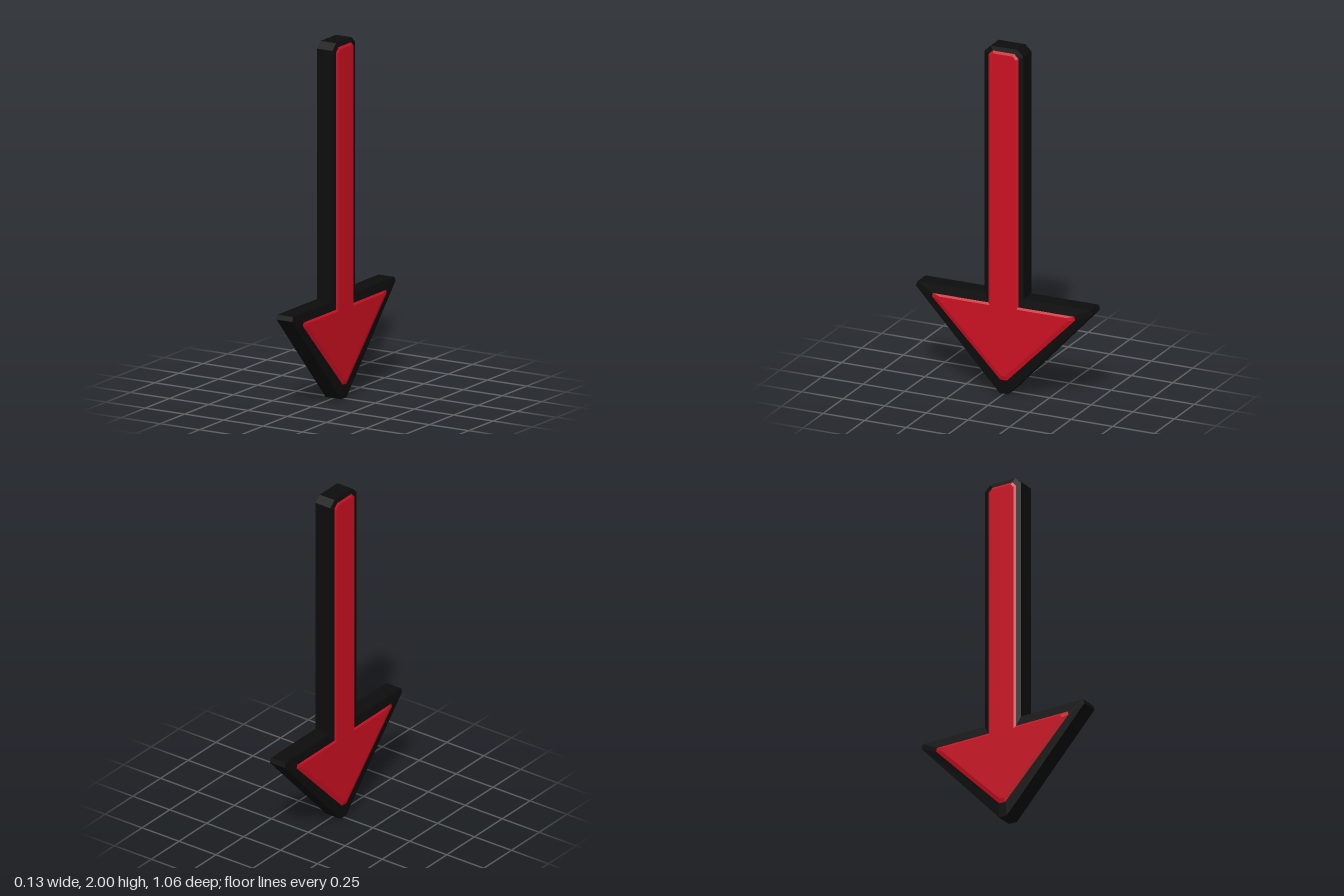
import * as THREE from 'three';

const black = new THREE.MeshStandardMaterial({ color: 0x0d0d0d });
black.name = 'black';
const red = new THREE.MeshStandardMaterial({ color: 0xcc1022 });
red.name = 'red';

// Closed outline from one half (sideways, up), tip first, mirrored to the other side
function outline(half) {
  const right = half.map(([u, v]) => new THREE.Vector2(u, v));
  const left = half.map(([u, v]) => new THREE.Vector2(-u, v)).reverse();
  return right.concat(left);
}

const rim = outline([[0.026, 0], [0.53, 0.54], [0.52, 0.566], [0.117, 0.566], [0.117, 1.965], [0.08, 2]]);
const inlay = outline([[0.02, 0.08], [0.43, 0.495], [0.425, 0.515], [0.09, 0.515], [0.09, 1.95], [0.065, 1.976]]);
const crest = outline([[0.012, 0.105], [0.39, 0.487], [0.38, 0.503], [0.078, 0.503], [0.078, 1.942], [0.058, 1.962]]);

// Flat-faced skin through levels [x, outline] of rising x, with optional end caps
function loft(levels, capLow, capHigh) {
  const positions = [];
  const put = (x, p) => positions.push(x, p.y, -p.x);
  for (let k = 0; k < levels.length - 1; k++) {
    const [xa, a] = levels[k], [xb, b] = levels[k + 1];
    for (let i = 0; i < a.length; i++) {
      const j = (i + 1) % a.length;
      put(xa, a[i]); put(xa, a[j]); put(xb, b[j]);
      put(xa, a[i]); put(xb, b[j]); put(xb, b[i]);
    }
  }
  const cap = ([x, ring], flip) => {
    for (const [a, b, c] of THREE.ShapeUtils.triangulateShape(ring, [])) {
      for (const i of flip ? [a, c, b] : [a, b, c]) put(x, ring[i]);
    }
  };
  if (capLow) cap(levels[0], true);
  if (capHigh) cap(levels[levels.length - 1], false);
  const geometry = new THREE.BufferGeometry();
  geometry.setAttribute('position', new THREE.Float32BufferAttribute(positions, 3));
  geometry.computeVertexNormals();
  return geometry;
}

export function createModel() {
  const group = new THREE.Group();
  group.name = 'arrow';
  const add = (name, geometry, material) => {
    const mesh = new THREE.Mesh(geometry, material);
    mesh.name = name;
    group.add(mesh);
  };

  // Dark body with faces sloping up to the inlay
  add('arrowBody', loft([[-0.056, inlay], [-0.05, rim], [0.05, rim], [0.056, inlay]]), black);

  // Raised red face on each side
  add('leftPanel', loft([[0.056, inlay], [0.063, crest]], false, true), red);
  add('rightPanel', loft([[-0.063, crest], [-0.056, inlay]], true, false), red);
  return group;
}
